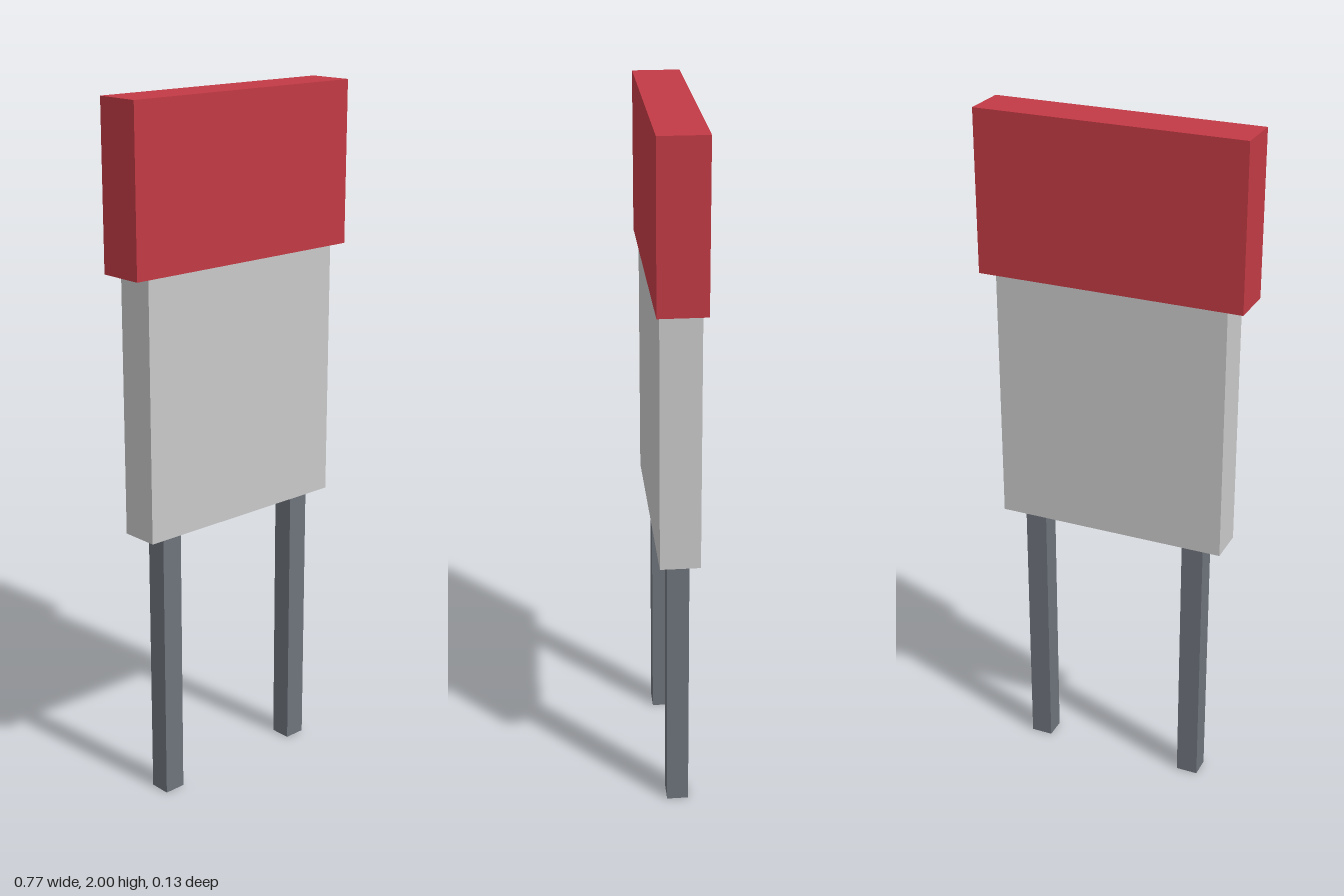
import * as THREE from 'three';

export function createModel() {
  const model = new THREE.Group();
  const red = new THREE.MeshStandardMaterial({ name: 'red', color: 0xc23a45 });
  const lightGrey = new THREE.MeshStandardMaterial({ name: 'lightGrey', color: 0xc9c9c9 });
  const darkGrey = new THREE.MeshStandardMaterial({ name: 'darkGrey', color: 0x6e747c });

  // Adds a box centred on z = 0, spanning bottom to top
  function addBox(name, material, width, depth, bottom, top, x = 0) {
    const mesh = new THREE.Mesh(new THREE.BoxGeometry(width, top - bottom, depth), material);
    mesh.name = name;
    mesh.position.set(x, (bottom + top) / 2, 0);
    model.add(mesh);
  }

  // Wide cap above a slightly narrower panel
  addBox('cap', red, 0.767, 0.134, 1.54, 2);
  addBox('panel', lightGrey, 0.674, 0.112, 0.803, 1.54);

  // Two slim posts
  for (const side of [-1, 1]) {
    addBox(side > 0 ? 'leftPost' : 'rightPost', darkGrey, 0.064, 0.062, 0, 0.803, side * 0.246);
  }
  return model;
}
